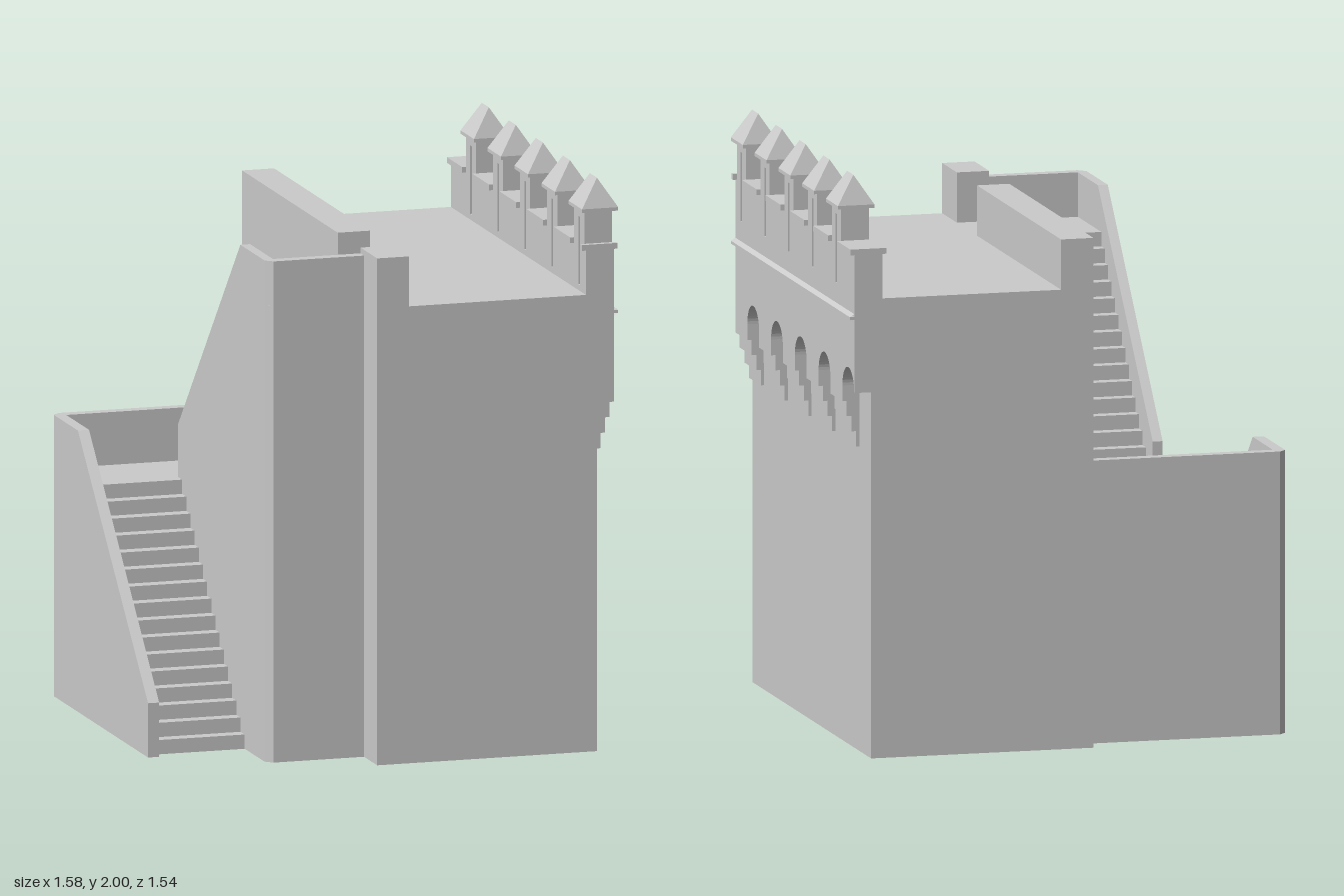
import * as THREE from 'three';
import { ConvexGeometry } from 'three/addons/geometries/ConvexGeometry.js';

const material = new THREE.MeshStandardMaterial({ color: 0xcccccc, flatShading: true, side: THREE.DoubleSide });

export function createModel() {
  const model = new THREE.Group();
  const add = (name, geometry) => {
    const mesh = new THREE.Mesh(geometry, material);
    mesh.name = name;
    model.add(mesh);
  };
  const box = (name, x0, x1, y0, y1, z0, z1) => {
    const g = new THREE.BoxGeometry(x1 - x0, y1 - y0, z1 - z0);
    add(name, g.translate((x0 + x1) / 2, (y0 + y1) / 2, (z0 + z1) / 2));
  };
  // side profiles are given as [z, y] and run along x
  const sideShape = pts => new THREE.Shape(pts.map(([z, y]) => new THREE.Vector2(-z, y)));
  const extrude = (shape, depth) => new THREE.ExtrudeGeometry(shape, { depth, bevelEnabled: false, curveSegments: 12 });
  const alongX = (name, shape, x0, x1) => add(name, extrude(shape, x1 - x0).rotateY(Math.PI / 2).translate(x0, 0, 0));
  const sideSheet = (name, x, pts) =>
    add(name, new THREE.ShapeGeometry(sideShape(pts)).rotateY(Math.PI / 2).translate(x, 0, 0));
  // footprints are given as [x, z] and rise along y
  const upright = (name, pts, y0, y1) => {
    const shape = new THREE.Shape(pts.map(([x, z]) => new THREE.Vector2(x, -z)));
    add(name, extrude(shape, y1 - y0).rotateX(-Math.PI / 2).translate(0, y0, 0));
  };
  // open surface between two matching rows of points
  const ribbon = (name, a, b) => {
    const pos = [];
    for (let i = 0; i < a.length - 1; i++) pos.push(...a[i], ...a[i + 1], ...b[i + 1], ...a[i], ...b[i + 1], ...b[i]);
    const g = new THREE.BufferGeometry();
    g.setAttribute('position', new THREE.Float32BufferAttribute(pos, 3));
    g.computeVertexNormals();
    add(name, g);
  };
  const skin = (name, pts, y1) => ribbon(name, pts.map(([x, z]) => [x, 0, z]), pts.map(([x, z]) => [x, y1, z]));
  const floor = (name, x0, x1, y, z0, z1) =>
    ribbon(name, [[x0, y, z0], [x0, y, z1]], [[x1, y, z0], [x1, y, z1]]);

  const ROOF = 1.6, LANDING = 0.8, W = 0.77;

  // hollow tower, open underneath
  skin('towerWalls', [[-0.08, W], [0.71, W], [0.71, -W], [-0.08, -W]], ROOF);
  sideSheet('towerStairSideWall', -0.08,
    [[-W, 0], [-0.69, 0], [-0.69, LANDING], [-0.39, LANDING], [0.32, ROOF], [-W, ROOF]]);
  sideSheet('towerFrontReturnWall', -0.08, [[0.62, 0], [W, 0], [W, ROOF], [0.62, ROOF]]);
  floor('towerRoof', -0.08, 0.71, ROOF, -W, W);
  box('longRoofParapet', -0.08, 0.035, ROOF, 1.775, -W, 0.32);
  box('shortRoofParapet', -0.08, 0.035, ROOF, 1.775, 0.58, W);

  // outer walls of the stair wing
  const upperEdge = [[-0.08, 0.62], [-0.405, 0.62], [-0.43, 0.595]];
  const lowerEdge = [[-0.08, -0.69], [-0.765, -0.69], [-0.79, -0.665]];
  skin('upperWingFrontWall', upperEdge, ROOF);
  skin('lowerWingBackWall', lowerEdge, LANDING);
  sideSheet('upperWingSideWall', -0.43, [[0.595, 0], [0.37, 0], [-0.39, LANDING], [0.32, ROOF], [0.595, ROOF]]);
  sideSheet('lowerWingSideWall', -0.79, [[0.37, 0], [-0.39, LANDING], [-0.665, LANDING], [-0.665, 0]]);

  // landings and their parapets
  floor('upperLanding', -0.42, -0.08, ROOF, 0.32, 0.61);
  floor('lowerLanding', -0.765, -0.08, LANDING, -0.67, -0.39);
  upright('upperLandingParapet',
    [...upperEdge, [-0.43, 0.32], [-0.395, 0.32], [-0.395, 0.58], [-0.08, 0.58]], ROOF, 1.755);
  upright('lowerLandingParapet',
    [...lowerEdge, [-0.79, -0.39], [-0.75, -0.39], [-0.75, -0.65], [-0.08, -0.65]], LANDING, 0.985);
  alongX('upperStairParapet', sideShape([[0.32, ROOF], [0.32, 1.755], [-0.39, 0.985], [-0.39, LANDING]]), -0.43, -0.395);
  alongX('lowerStairParapet',
    sideShape([[-0.39, LANDING], [-0.39, 0.985], [0.41, 0.19], [0.41, 0], [0.37, 0]]), -0.79, -0.75);

  // two flights of sixteen steps
  const flight = (name, x0, x1, z0, z1, y0) => {
    const n = 16, a = [], b = [], rise = 0.05, run = (z1 - z0) / n;
    for (let i = 0; i < n; i++) {
      for (const [z, y] of [[z0 + i * run, y0 + i * rise], [z0 + i * run, y0 + (i + 1) * rise]]) {
        a.push([x0, y, z]);
        b.push([x1, y, z]);
      }
    }
    a.push([x0, y0 + n * rise, z1]);
    b.push([x1, y0 + n * rise, z1]);
    ribbon(name, a, b);
  };
  flight('lowerStairs', -0.785, -0.43, 0.37, -0.39, 0);
  flight('upperStairs', -0.425, -0.08, -0.39, 0.32, LANDING);

  // overhanging gallery with a row of arches
  const PITCH = 0.308, HALF = 0.077;
  const bays = [0, 1, 2, 3, 4].map(i => W - HALF - i * PITCH);
  const gallery = new THREE.Shape();
  gallery.moveTo(-W, 1.22);
  bays.forEach((z, i) => {
    const s = -z;
    gallery.lineTo(s + HALF, 1.22);
    gallery.lineTo(s + HALF, 1.275);
    gallery.absarc(s + 2 * HALF, 1.275, HALF, Math.PI, 0, true);
    if (i < 4) gallery.lineTo(s + 3 * HALF, 1.22);
  });
  gallery.lineTo(W, ROOF);
  gallery.lineTo(-W, ROOF);
  alongX('archedGallery', gallery, 0.71, 0.77);
  alongX('stringCourse', sideShape([[-W, 1.53], [W, 1.53], [W, 1.54], [-W, 1.54]]), 0.77, 0.786);
  ribbon('stringCourseSlopes',
    [[0.77, 1.52, W], [0.786, 1.53, W], [0.786, 1.54, W], [0.77, 1.55, W]],
    [[0.77, 1.52, -W], [0.786, 1.53, -W], [0.786, 1.54, -W], [0.77, 1.55, -W]]);

  // battlement wall and merlons with arrow slits
  const BODY = 0.058;
  const outline = [[W, ROOF], [W, 1.765]];
  bays.forEach(z => outline.push([z + BODY, 1.765], [z + BODY, 1.89], [z - BODY, 1.89], [z - BODY, 1.765]));
  outline.push([-W, 1.765], [-W, ROOF]);
  const battlement = sideShape(outline);
  bays.forEach(z => {
    const slit = [[z - 0.01, 1.62], [z + 0.01, 1.62], [z + 0.01, 1.86], [z - 0.01, 1.86]];
    battlement.holes.push(new THREE.Path(slit.map(([a, y]) => new THREE.Vector2(-a, y))));
  });
  alongX('battlementWall', battlement, 0.67, 0.77);

  // stepped corbels, merlon roofs and copings
  bays.forEach((z, i) => {
    [0.722, 0.738, 0.755].forEach((x, k) =>
      box('corbelStep', 0.71, x, 1.06 + k * 0.0535, 1.06 + (k + 1) * 0.0535, z - HALF, z + HALF));
    box('merlonCap', 0.656, 0.786, 1.888, 1.9, z - HALF, z + HALF);
    const points = [[0.721, 2, z - 0.04], [0.721, 2, z + 0.04]];
    for (const x of [0.656, 0.786]) for (const s of [-HALF, HALF]) points.push([x, 1.9, z + s]);
    add('merlonRoof', new ConvexGeometry(points.map(p => new THREE.Vector3(...p))));
    if (i === 0) box('coping', 0.656, 0.784, 1.755, 1.775, z + BODY, W);
    box('coping', 0.656, 0.784, 1.755, 1.775, i < 4 ? z - PITCH + BODY : -W, z - BODY);
  });
  return model;
}
